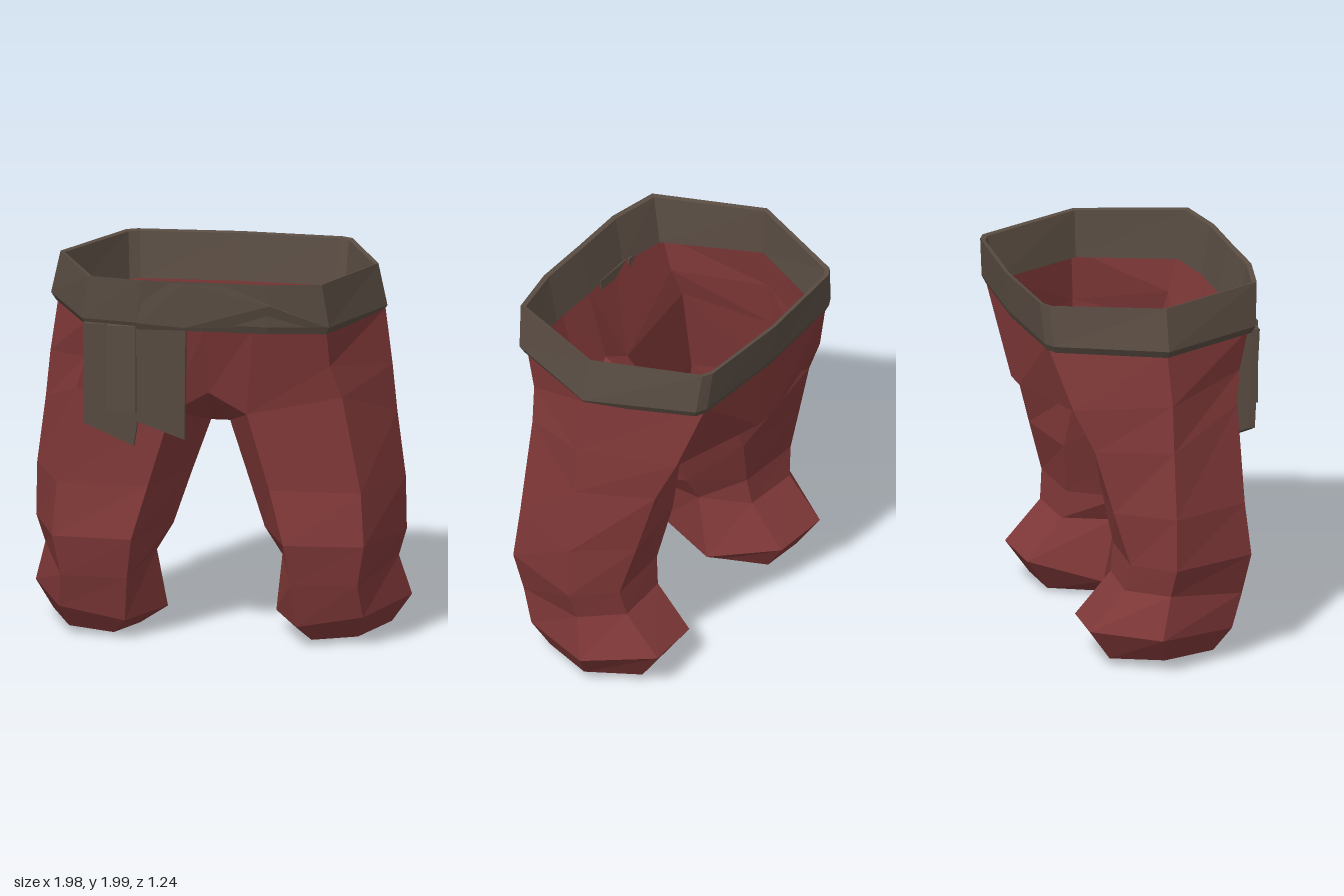
import * as THREE from 'three';
import { ConvexGeometry } from 'three/addons/geometries/ConvexGeometry.js';

const cloth = new THREE.MeshStandardMaterial({ color: 0x803838, flatShading: true, side: THREE.DoubleSide });
const sashCloth = new THREE.MeshStandardMaterial({ color: 0x594c42, flatShading: true, side: THREE.DoubleSide });

// Flat-shaded geometry from convex polygons, each fanned into triangles
function fromPolygons(polys) {
  const pos = [];
  for (const p of polys)
    for (let i = 1; i < p.length - 1; i++) pos.push(...p[0], ...p[i], ...p[i + 1]);
  const g = new THREE.BufferGeometry();
  g.setAttribute('position', new THREE.Float32BufferAttribute(pos, 3));
  g.computeVertexNormals();
  return g;
}

// Quads joining an upper loop to a lower loop
function bridge(upper, lower) {
  return upper.map((p, i) => {
    const j = (i + 1) % upper.length;
    return [lower[i], lower[j], upper[j], p];
  });
}

const flip = ([x, y, z]) => [-x, y, z];
const mirrored = (polys) => polys.map((p) => p.map(flip).reverse());

function add(group, name, geometry, material) {
  const m = new THREE.Mesh(geometry, material);
  m.name = name;
  group.add(m);
}

// Leg loops, thigh to cuff: front inner, front outer, outer, back outer, back inner, inner
const legLoops = [
  [[0.2, 1.25, 0.44], [0.7, 1.36, 0.43], [0.925, 1.2, 0.02], [0.72, 1.18, -0.35], [0.2, 1.18, -0.18], [0.05, 1.12, 0.05]],
  [[0.32, 0.85, 0.45], [0.8, 0.85, 0.44], [0.97, 0.85, 0.02], [0.76, 0.85, -0.26], [0.33, 0.85, -0.2], [0.145, 0.85, 0.08]],
  [[0.4, 0.57, 0.5], [0.82, 0.57, 0.47], [0.975, 0.57, 0.02], [0.8, 0.57, -0.18], [0.42, 0.57, -0.16], [0.24, 0.57, 0.1]],
  [[0.43, 0.35, 0.45], [0.78, 0.35, 0.43], [0.93, 0.42, 0], [0.76, 0.42, -0.2], [0.44, 0.42, -0.18], [0.33, 0.42, 0.08]],
  [[0.45, 0.11, 0.39], [0.8, 0.17, 0.37], [0.99, 0.2, -0.06], [0.76, 0.21, -0.39], [0.43, 0.2, -0.37], [0.285, 0.1, 0]],
  [[0.52, 0.025, 0.31], [0.76, 0.045, 0.28], [0.89, 0.06, -0.02], [0.72, 0.04, -0.27], [0.5, 0.02, -0.24], [0.43, 0.005, 0]],
];

// Low point of the centre back seam
const seatLow = [0.07, 1.36, -0.565];

// Hip faces of one half, from the waist down to the thigh loop
function hipHalf() {
  const [fi, fo, o, bo, bi, crotch] = legLoops[0];
  const waist = [[0, 1.74, 0.55], [0.25, 1.74, 0.55], [0.63, 1.74, 0.51], [0.86, 1.74, 0], [0.56, 1.74, -0.56], [0.07, 1.74, -0.58]];
  const [wc, wfi, wfo, wo, wbo, wb] = waist;
  const front = [0, 1.36, 0.44], hipFront = [0.64, 1.53, 0.46], hip = [0.9, 1.45, 0.02];
  const cheek = [0.67, 1.4, -0.45];
  return [
    [front, fi, wfi, wc], [fi, hipFront, wfo, wfi], [fi, fo, hipFront],
    [hipFront, hip, wo, wfo], [fo, o, hip, hipFront],
    [hip, cheek, wbo, wo], [o, bo, cheek, hip],
    [cheek, seatLow, wbo], [wbo, seatLow, wb],
    [cheek, bi, seatLow], [cheek, bo, bi],
    [seatLow, bi, crotch], [front, crotch, fi],
  ];
}

// Centre strip from the waist down the back to the crotch, then the front gusset
function centreStrip() {
  const crotch = legLoops[0][5];
  const path = [[0.07, 1.74, -0.58], seatLow, crotch];
  const strip = path.slice(1).map((p, i) => [p, flip(p), flip(path[i]), path[i]]);
  return [...strip, [[0, 1.36, 0.44], flip(crotch), crotch]];
}

// Waist sash: x, z of the outer corners, going round from the front
const sashCorners = [[0, 0.6], [0.34, 0.6], [0.65, 0.55], [0.87, 0], [0.63, -0.55], [0.57, -0.58],
  [0, -0.61], [-0.57, -0.58], [-0.63, -0.55], [-0.9, 0], [-0.65, 0.55], [-0.35, 0.605]];

function sashLoop(scaleX, scaleZ, y, slope) {
  return sashCorners.map(([x, z]) => [x * scaleX, y + z * slope, z * scaleZ]);
}

// Band leaning inward at the sides, thin at the top and thick at the bottom
function sashBand() {
  const loops = [sashLoop(0.945, 1.02, 1.978, 0.025), sashLoop(1, 0.99, 1.755, 0.01),
    sashLoop(0.97, 0.96, 1.715, 0.01), sashLoop(0.9, 0.9, 1.72, 0.01), sashLoop(0.92, 0.98, 1.972, 0.025)];
  return fromPolygons(loops.flatMap((l, i) => bridge(l, loops[(i + 1) % loops.length])));
}

// Hanging strip cut from a flat outline, its front leaning back towards the hem
function tail(points, z, depth, lean) {
  const shape = new THREE.Shape(points.map(([x, y]) => new THREE.Vector2(x, y)));
  const g = new THREE.ExtrudeGeometry(shape, { depth, bevelEnabled: false });
  const p = g.attributes.position;
  for (let i = 0; i < p.count; i++) p.setZ(i, p.getZ(i) + z - lean * (1.74 - p.getY(i)));
  g.computeVertexNormals();
  return g;
}

export function createModel() {
  const model = new THREE.Group();
  model.name = 'trousersWithSash';

  // Trousers: hips, crotch and two open legs
  const hips = hipHalf();
  add(model, 'hips', fromPolygons([...hips, ...mirrored(hips), ...centreStrip()]), cloth);
  const leg = legLoops.slice(1).flatMap((l, i) => bridge(legLoops[i], l));
  add(model, 'leftLeg', fromPolygons(leg), cloth);
  add(model, 'rightLeg', fromPolygons(mirrored(leg)), cloth);

  // Sash with a diagonal fold on the front
  const sash = new THREE.Group();
  sash.name = 'sash';
  add(sash, 'waistBand', sashBand(), sashCloth);
  const fold = [[-0.3, 1.98, 0.605], [0.1, 1.98, 0.615], [0.35, 1.88, 0.615], [0.64, 1.765, 0.555], [-0.1, 1.745, 0.61],
    [-0.35, 1.76, 0.61], [0, 1.85, 0.59], [-0.1, 1.985, 0.62]].map((p) => new THREE.Vector3(...p));
  add(sash, 'sashFold', new ConvexGeometry(fold), sashCloth);

  // Hanging tails
  add(sash, 'outerTail', tail([[-0.64, 1.74], [-0.64, 1.2], [-0.38, 1.085], [-0.35, 1.27], [-0.35, 1.74]], 0.53, 0.04, 0.05), sashCloth);
  add(sash, 'innerTail', tail([[-0.36, 1.74], [-0.36, 1.22], [-0.11, 1.13], [-0.1, 1.74]], 0.54, 0.04, 0.05), sashCloth);
  add(sash, 'middleTail', tail([[-0.51, 1.74], [-0.51, 1.29], [-0.36, 1.27], [-0.36, 1.74]], 0.56, 0.04, 0), sashCloth);
  model.add(sash);
  return model;
}
